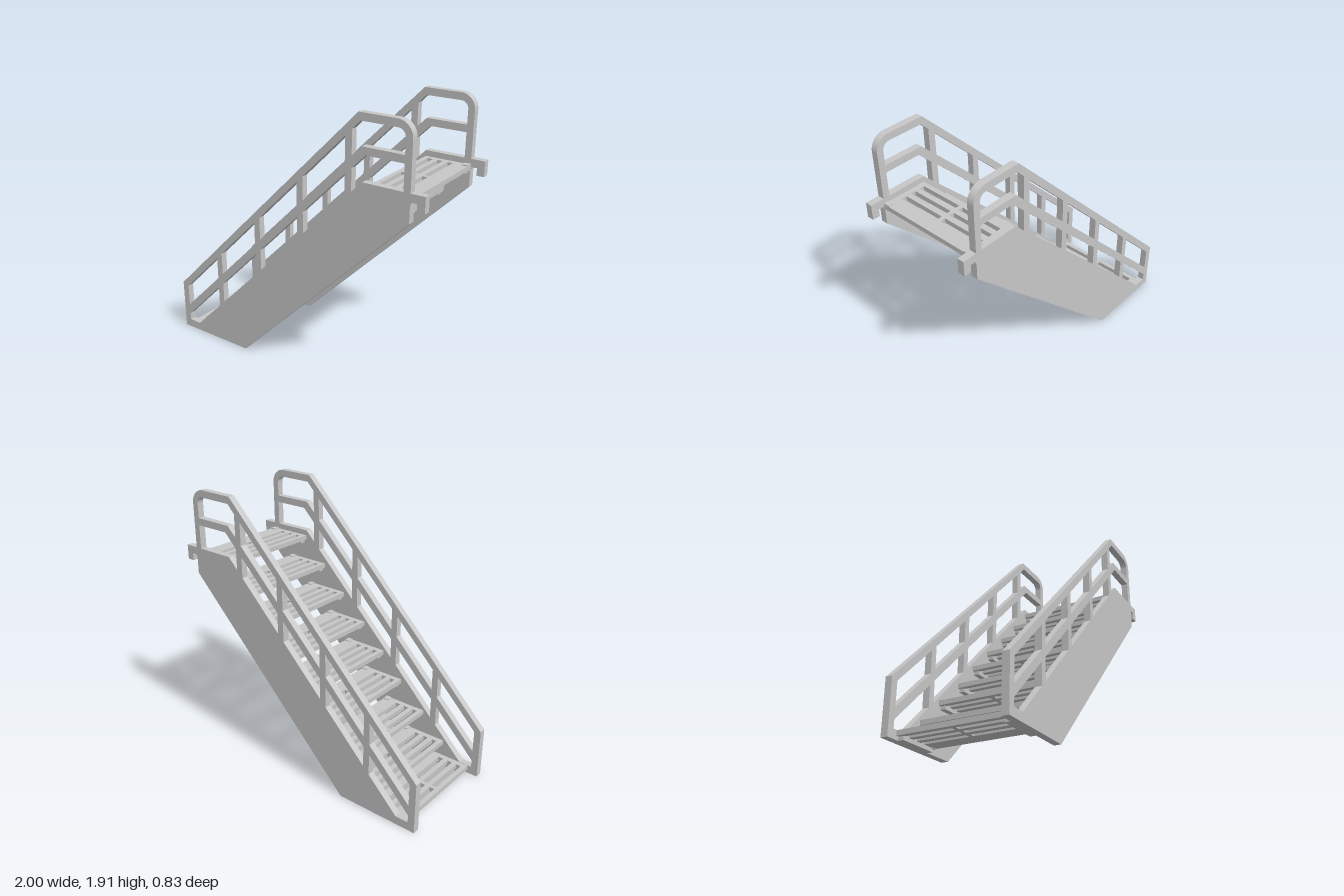
import * as THREE from 'three';

const grey = new THREE.MeshStandardMaterial({ color: 0xc7c7c7 });
grey.name = 'light grey metal';

const polygon = (Type, pts) => new Type(pts.map(([x, y]) => new THREE.Vector2(x, y)));
const rect = (Type, x0, y0, x1, y1) => polygon(Type, [[x0, y0], [x1, y0], [x1, y1], [x0, y1]]);

function addMesh(parent, name, geometry, x = 0, y = 0, z = 0) {
  const mesh = new THREE.Mesh(geometry, grey);
  mesh.name = name;
  mesh.position.set(x, y, z);
  parent.add(mesh);
}

const INNER = 0.368, OUTER = 0.416;

// Stringer, handrail and hook cut from one plate
function sidePlate() {
  const s = new THREE.Shape();
  s.moveTo(-1, 0);
  for (const [x, y] of [[-0.4, 0], [0.903, 1.303], [0.903, 1.42], [0.91, 1.42], [0.91, 1.437], [0.948, 1.437],
    [0.948, 1.387], [1, 1.387], [1, 1.492], [0.903, 1.492], [0.903, 1.81]]) s.lineTo(x, y);
  s.absarc(0.803, 1.81, 0.1, 0, Math.PI / 2, false);
  s.lineTo(0.545, 1.91);
  s.lineTo(-1, 0.367);
  s.closePath();

  // Sloping openings between posts, above and below the middle rail
  const bays = [[-0.95, -0.633], [-0.587, -0.27], [-0.223, 0.092], [0.14, 0.455]];
  bays.forEach(([a, b], i) => {
    s.holes.push(polygon(THREE.Path, [[a, a + 1.14], [b, b + 1.14], [b, b + 1.3], [a, a + 1.3]]));
    const foot = i === 0 ? [[a, 0.06], [-0.855, 0.06]] : [[a, a + 0.915]];
    s.holes.push(polygon(THREE.Path, [...foot, [b, b + 0.915], [b, b + 1.065], [a, a + 1.065]]));
  });

  // Openings beside the top landing
  const top = new THREE.Path();
  top.moveTo(0.503, 1.643);
  top.lineTo(0.57, 1.71);
  top.lineTo(0.857, 1.71);
  top.lineTo(0.857, 1.81);
  top.absarc(0.807, 1.81, 0.05, 0, Math.PI / 2, false);
  top.lineTo(0.56, 1.86);
  top.lineTo(0.503, 1.803);
  top.closePath();
  s.holes.push(top);
  s.holes.push(polygon(THREE.Path, [[0.503, 1.418], [0.577, 1.492], [0.857, 1.492], [0.857, 1.66], [0.598, 1.66], [0.503, 1.565]]));

  return new THREE.ExtrudeGeometry(s, { depth: OUTER - INNER, bevelEnabled: false, curveSegments: 8 });
}

// Slotted tread with a wide solid strip at the back; its top is at y = 0
const DEPTH = 0.325;
function treadPlate() {
  const s = rect(THREE.Shape, 0, -INNER, DEPTH, INNER);
  for (let i = 0; i < 3; i++) {
    const x = 0.033 + i * 0.073;
    s.holes.push(rect(THREE.Path, x, 0.014, x + 0.037, 0.33));
    s.holes.push(rect(THREE.Path, x, -0.33, x + 0.037, -0.014));
  }
  return new THREE.ExtrudeGeometry(s, { depth: 0.033, bevelEnabled: false }).rotateX(Math.PI / 2);
}

export function createModel() {
  const group = new THREE.Group();
  group.name = 'staircase';

  const side = sidePlate();
  addMesh(group, 'leftSide', side, 0, 0, INNER);
  addMesh(group, 'rightSide', side, 0, 0, -OUTER);

  // Treads as [front x, top y]
  const steps = [[-0.922, 0.058], [-0.71, 0.18], [-0.53, 0.362], [-0.325, 0.546], [-0.16, 0.728],
    [0.02, 0.908], [0.215, 1.09], [0.4, 1.272], [0.58, 1.453]];
  const plate = treadPlate();
  const flange = new THREE.BoxGeometry(DEPTH - 0.04, 0.058, INNER - 0.33);
  const lug = new THREE.BoxGeometry(0.04, 0.042, INNER - 0.322);
  steps.forEach(([x, y], i) => {
    const step = new THREE.Group();
    step.name = 'step' + (i + 1);
    step.position.set(x, y, 0);
    addMesh(step, 'tread', plate);
    for (const m of [-1, 1]) {
      // Side flange below the tread and raised lug at the back corner
      addMesh(step, 'flange', flange, DEPTH / 2, -0.029, m * (INNER + 0.33) / 2);
      addMesh(step, 'lug', lug, DEPTH - 0.021, -0.015, m * (INNER + 0.322) / 2);
    }
    group.add(step);
  });
  return group;
}
